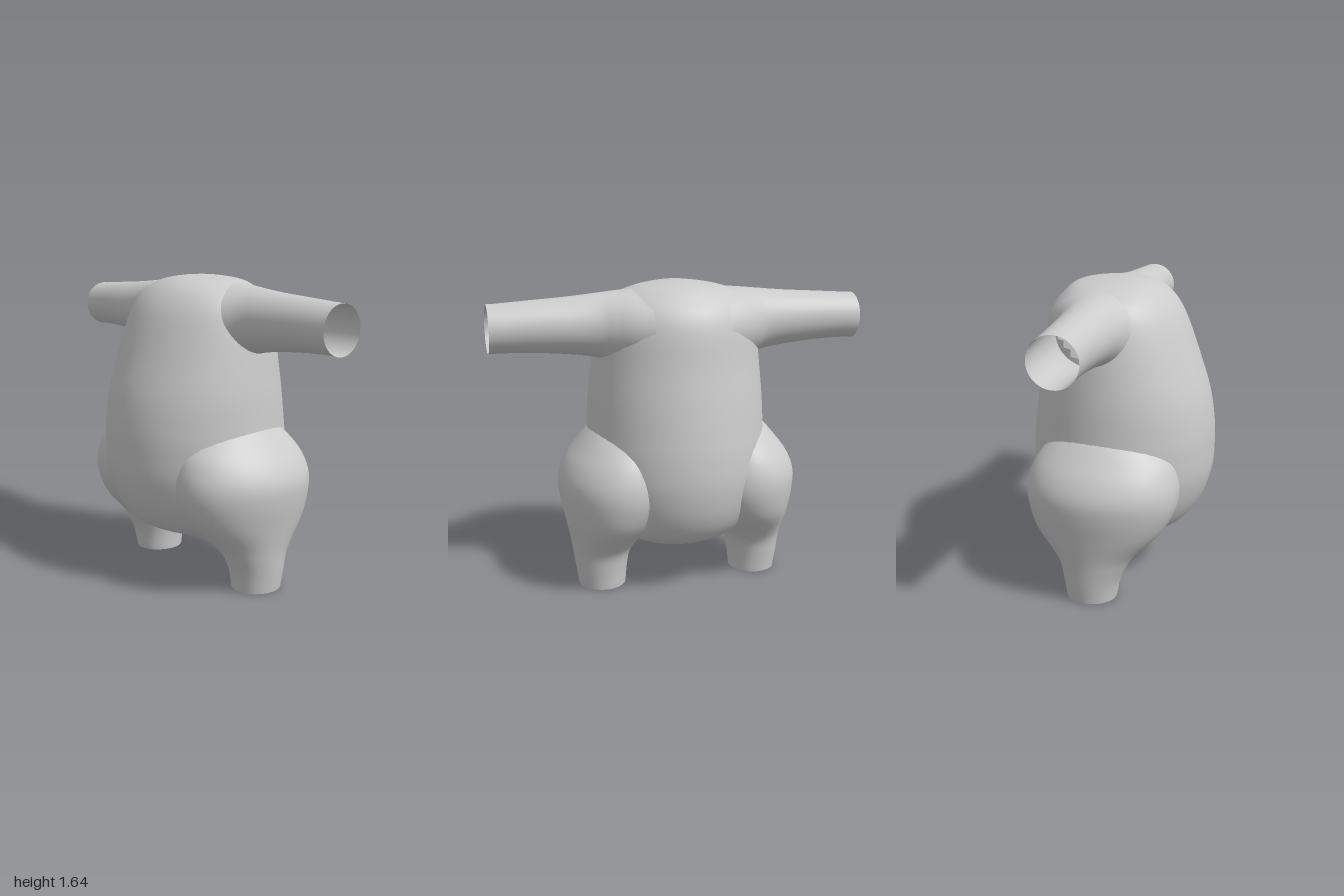
import * as THREE from 'three';

const SIDES = 48;
const STEPS = 5; // rows between two given sections

// Each section: [position along axis, min a, max a, min b, max b].
// Torso and legs run along y with a = x, b = z.
const TORSO = [
  [0.21, 0, 0, -0.05, -0.05],
  [0.22, -0.14, 0.14, -0.17, 0.08],
  [0.25, -0.26, 0.26, -0.28, 0.19],
  [0.32, -0.36, 0.36, -0.39, 0.34],
  [0.44, -0.43, 0.43, -0.46, 0.435],
  [0.60, -0.475, 0.475, -0.495, 0.49],
  [0.75, -0.488, 0.488, -0.495, 0.5],
  [0.88, -0.484, 0.484, -0.482, 0.495],
  [1.04, -0.475, 0.475, -0.46, 0.468],
  [1.22, -0.455, 0.455, -0.43, 0.41],
  [1.40, -0.43, 0.43, -0.405, 0.345],
  [1.50, -0.40, 0.40, -0.37, 0.295],
  [1.57, -0.34, 0.34, -0.31, 0.235],
  [1.615, -0.23, 0.23, -0.25, 0.165],
  [1.638, -0.09, 0.09, -0.13, 0.08],
  [1.643, 0, 0, -0.03, -0.03],
];
const LEG = [
  [0, 0.31, 0.565, -0.2, 0.07],
  [0.10, 0.30, 0.58, -0.215, 0.09],
  [0.19, 0.28, 0.592, -0.235, 0.13],
  [0.26, 0.235, 0.603, -0.28, 0.18],
  [0.38, 0.14, 0.627, -0.38, 0.30],
  [0.50, 0.07, 0.65, -0.425, 0.365],
  [0.60, 0.05, 0.654, -0.432, 0.38],
  [0.69, 0.06, 0.62, -0.41, 0.365],
  [0.77, 0.08, 0.562, -0.365, 0.33],
  [0.86, 0.1, 0.485, -0.28, 0.25],
  [0.93, 0.12, 0.41, -0.18, 0.15],
];
// Arms run along x with a = z, b = y.
const ARM = [
  [0.20, -0.36, 0.22, 1.20, 1.612],
  [0.30, -0.315, 0.175, 1.215, 1.603],
  [0.38, -0.268, 0.13, 1.235, 1.596],
  [0.46, -0.233, 0.098, 1.262, 1.588],
  [0.60, -0.214, 0.08, 1.283, 1.575],
  [0.80, -0.2, 0.066, 1.299, 1.562],
  [0.95, -0.193, 0.06, 1.302, 1.552],
  [1, -0.19, 0.06, 1.3, 1.55],
];

// Smooth rows {t, ca, ra, cb, rb} through the given sections
function makeRows(sections) {
  const times = sections.map((_, i) => i);
  const curve = new THREE.CubicInterpolant(times, sections.flat(), 5, new Float32Array(5));
  const rows = [];
  for (let i = 0; i <= (sections.length - 1) * STEPS; i++) {
    const [t, a0, a1, b0, b1] = curve.evaluate(i / STEPS);
    rows.push({ t, ca: (a0 + a1) / 2, ra: (a1 - a0) / 2, cb: (b0 + b1) / 2, rb: (b1 - b0) / 2 });
  }
  return rows;
}

const torso = { rows: makeRows(TORSO), axis: 'y' };
const leg = { rows: makeRows(LEG), axis: 'y' };
const arm = { rows: makeRows(ARM), axis: 'x' };

// True when a point lies clearly inside a tube (tested on the +x half)
function isInside(tube, p) {
  const x = Math.abs(p.x);
  const [t, a, b] = tube.axis === 'y' ? [p.y, x, p.z] : [x, p.z, p.y];
  const rows = tube.rows;
  const i = rows.findIndex((r, n) => n > 0 && t >= rows[n - 1].t && t <= r.t);
  if (i < 0) return false;
  const r0 = rows[i - 1], r1 = rows[i];
  const k = (t - r0.t) / (r1.t - r0.t || 1);
  const mix = (key) => THREE.MathUtils.lerp(r0[key], r1[key], k);
  return Math.hypot((a - mix('ca')) / mix('ra'), (b - mix('cb')) / mix('rb')) < 0.95;
}

// Skin a tube with elliptical rings, leaving out faces hidden inside other tubes
function skin(tube, hiddenBy, side = 1) {
  const points = [];
  for (const r of tube.rows) {
    for (let k = 0; k < SIDES; k++) {
      const angle = (k / SIDES) * Math.PI * 2;
      const a = r.ca + r.ra * Math.cos(angle);
      const b = r.cb + r.rb * Math.sin(angle);
      points.push(tube.axis === 'y'
        ? new THREE.Vector3(side * a, r.t, b)
        : new THREE.Vector3(side * r.t, b, a));
    }
  }
  const faces = [];
  for (let i = 0; i < tube.rows.length - 1; i++) {
    for (let k = 0; k < SIDES; k++) {
      const p = i * SIDES + k, q = i * SIDES + ((k + 1) % SIDES);
      const P = p + SIDES, Q = q + SIDES;
      faces.push(...(side > 0 ? [[p, P, q], [q, P, Q]] : [[p, q, P], [q, Q, P]]));
    }
  }
  const geometry = new THREE.BufferGeometry().setFromPoints(points);
  geometry.setIndex(faces.flat());
  geometry.computeVertexNormals();
  // trim after the normals, so the cut edges stay smoothly shaded
  const hidden = points.map((p) => hiddenBy.some((other) => isInside(other, p)));
  geometry.setIndex(faces.filter((f) => !f.every((v) => hidden[v])).flat());
  return geometry;
}

export function createModel() {
  const group = new THREE.Group();
  const material = new THREE.MeshStandardMaterial({ color: 0xcccccc, side: THREE.DoubleSide });
  const add = (name, geometry) => {
    const mesh = new THREE.Mesh(geometry, material);
    mesh.name = name;
    group.add(mesh);
  };

  // Hollow torso, open into the limbs
  add('torso', skin(torso, [arm, leg]));

  // Open sleeves and legs, mirrored left and right
  for (const [prefix, side] of [['left', 1], ['right', -1]]) {
    add(prefix + 'Arm', skin(arm, [torso], side));
    add(prefix + 'Leg', skin(leg, [torso], side));
  }
  return group;
}
